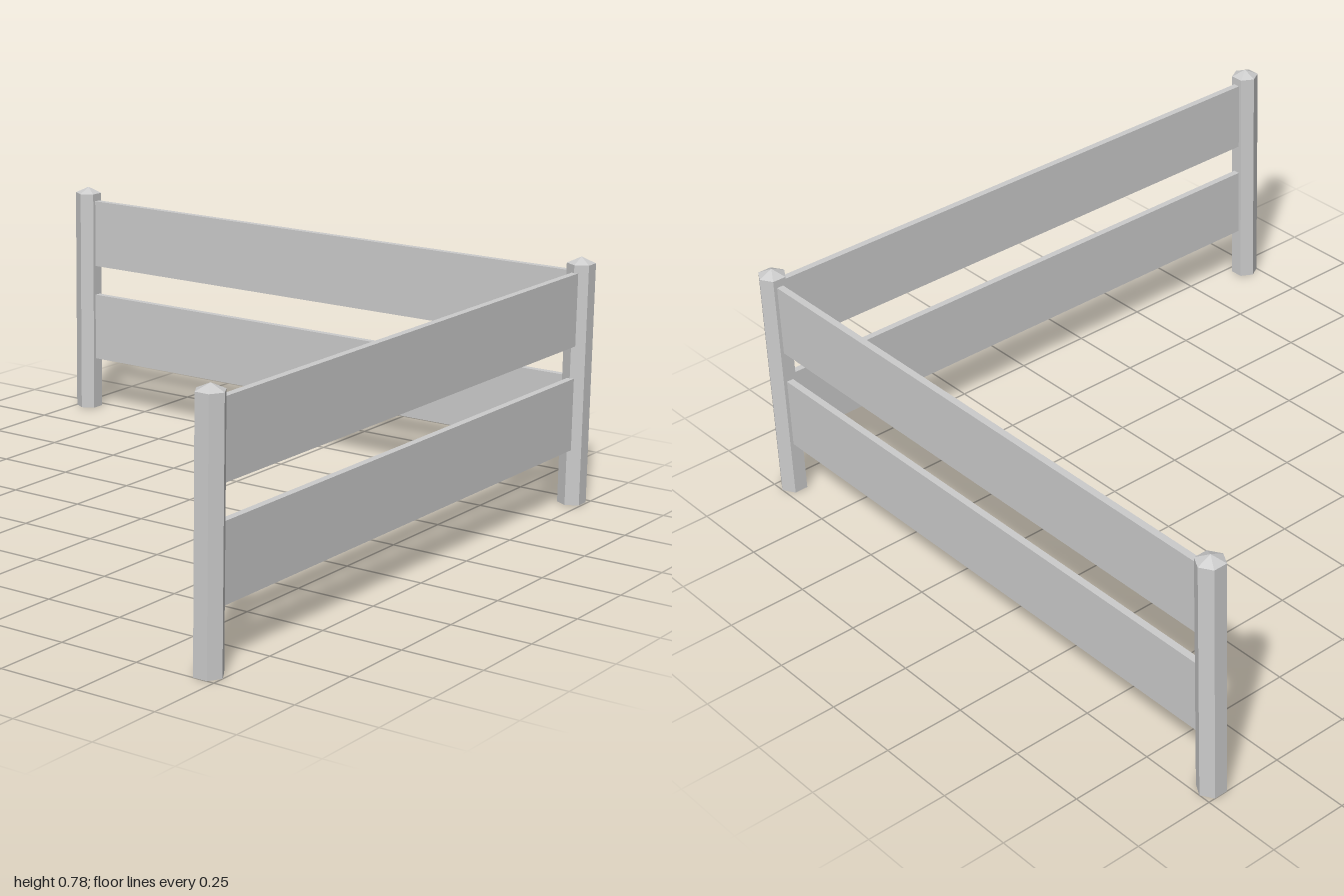
import * as THREE from 'three';

const P = 0.956; // distance of the post lines from the centre
const R = 0.044; // post radius, corner to corner

export function createModel() {
  const fence = new THREE.Group();
  fence.name = 'cornerFence';
  const material = new THREE.MeshStandardMaterial({ color: 0xcccccc, flatShading: true });

  // Hexagonal post with a low pointed cap
  const profile = [[0, 0], [R, 0], [R, 0.76], [0, 0.78]].map(([x, y]) => new THREE.Vector2(x, y));
  const postGeometry = new THREE.LatheGeometry(profile, 6);
  function addPost(name, x, z, turn) {
    const post = new THREE.Mesh(postGeometry, material);
    post.name = name;
    post.position.set(x, 0, z);
    post.rotation.y = turn;
    fence.add(post);
  }
  addPost('leftEndPost', -0.962, P, 0);
  addPost('cornerPost', P, P, Math.PI / 2);
  addPost('backEndPost', P, -0.962, Math.PI / 2);

  // Two wide boards per side, running between the post centres
  const boardGeometry = new THREE.BoxGeometry(1.91, 0.228, 0.022);
  function addSide(name, x, z, turn) {
    const side = new THREE.Group();
    side.name = name;
    [['lowerBoard', 0.291], ['upperBoard', 0.621]].forEach(([boardName, y]) => {
      const board = new THREE.Mesh(boardGeometry, material);
      board.name = boardName;
      board.position.y = y;
      side.add(board);
    });
    side.position.set(x, 0, z);
    side.rotation.y = turn;
    fence.add(side);
  }
  addSide('frontBoards', -0.003, P, 0);
  addSide('sideBoards', P, -0.003, Math.PI / 2);

  return fence;
}
